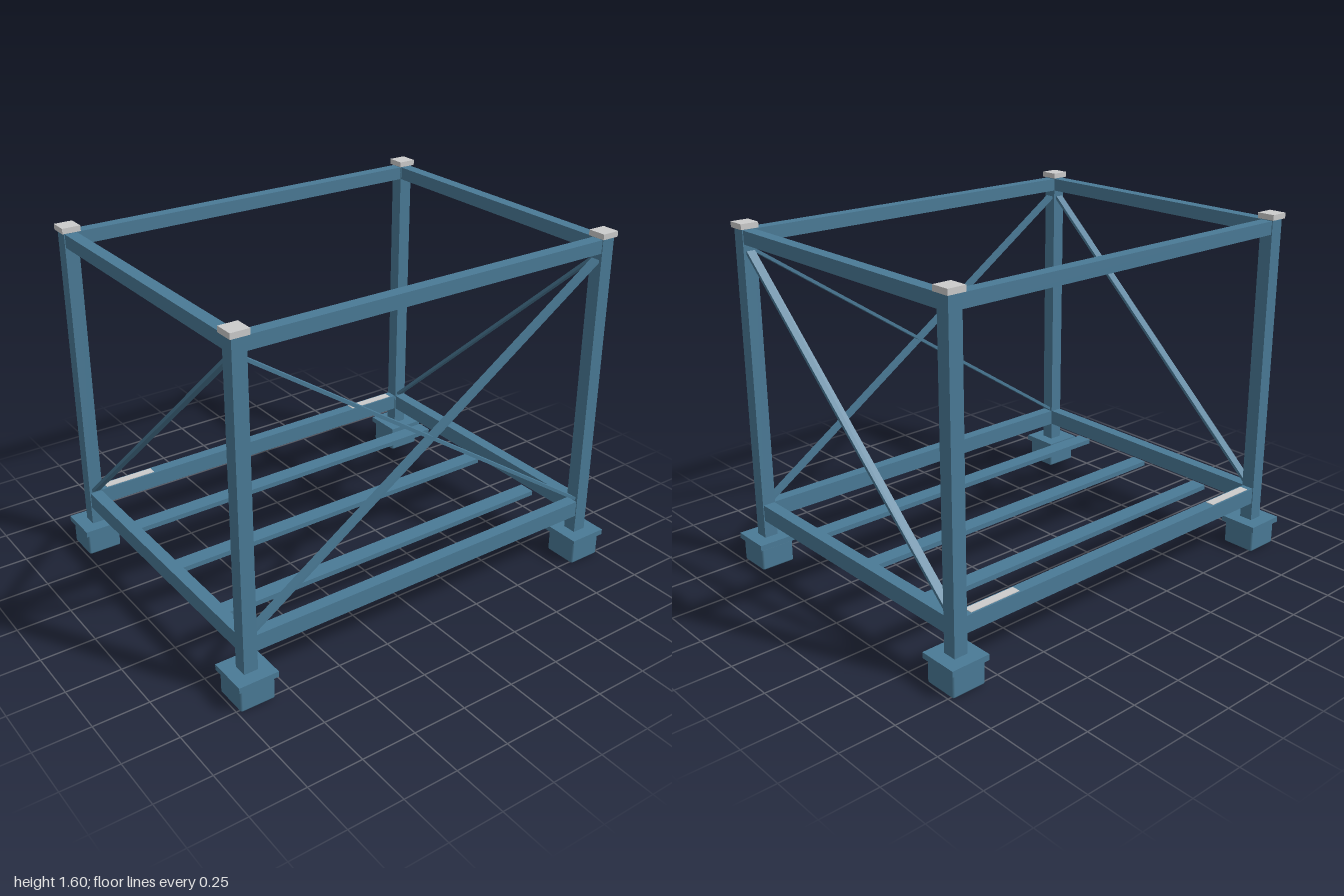
import * as THREE from 'three';
import { RoundedBoxGeometry } from 'three/addons/geometries/RoundedBoxGeometry.js';

const blue = new THREE.MeshStandardMaterial({ color: 0x4a7a96 });
const grey = new THREE.MeshStandardMaterial({ color: 0xcccccc });

const PX = 0.907, PZ = 0.687; // post centres
const POST = 0.064;
const IX = PX - POST / 2, IZ = PZ - POST / 2; // inner post faces

export function createModel() {
  const model = new THREE.Group();

  const add = (name, geometry, material, x, y, z) => {
    const mesh = new THREE.Mesh(geometry, material);
    mesh.name = name;
    mesh.position.set(x, y, z);
    model.add(mesh);
    return mesh;
  };
  // Box given by its size, bottom and top heights, and centre
  const bar = (name, w, d, y0, y1, x, z, material = blue) =>
    add(name, new THREE.BoxGeometry(w, y1 - y0, d), material, x, (y0 + y1) / 2, z);

  // Corner posts with foot, base plate and cap
  for (const sx of [-1, 1]) {
    for (const sz of [-1, 1]) {
      const x = sx * PX, z = sz * PZ;
      const foot = new RoundedBoxGeometry(0.16, 0.108, 0.16, 1, 0.008);
      add('foot', foot, blue, x, 0.054, z);
      bar('basePlate', 0.184, 0.184, 0.108, 0.134, x, z);
      bar('post', POST, POST, 0.134, 1.575, x, z);
      bar('postCap', 0.084, 0.084, 1.575, 1.6, x, z, grey);
    }
  }

  // Top and bottom rails
  for (const s of [-1, 1]) {
    for (const [level, y0, y1] of [['top', 1.51, 1.57], ['bottom', 0.22, 0.296]]) {
      bar(level + 'LongRail', 2 * IX, 0.056, y0, y1, 0, s * PZ);
      bar(level + 'SideRail', 0.056, 2 * IZ, y0, y1, s * PX, 0);
    }
    // Thin pads near the ends of the rear bottom rail
    bar('railPad', 0.25, 0.04, 0.296, 0.299, s * 0.72, -PZ, grey);
  }

  // Floor slats
  for (const z of [-0.395, 0, 0.395]) bar('floorSlat', 1.742, 0.076, 0.198, 0.221, 0, z);

  // Flat diagonal braces: crossed pair at the front, one on each side
  const LOW = 0.308, HIGH = 1.475, rise = HIGH - LOW, mid = (LOW + HIGH) / 2;
  for (const s of [-1, 1]) {
    const front = new THREE.BoxGeometry(Math.hypot(2 * IX, rise), 0.014, 0.04);
    add('frontBrace', front, blue, 0, mid, PZ).rotation.z = s * Math.atan2(rise, 2 * IX);
    const side = new THREE.BoxGeometry(0.04, 0.014, Math.hypot(2 * IZ, rise));
    add('sideBrace', side, blue, s * PX, mid, 0).rotation.x = -Math.atan2(rise, 2 * IZ);
  }

  return model;
}
